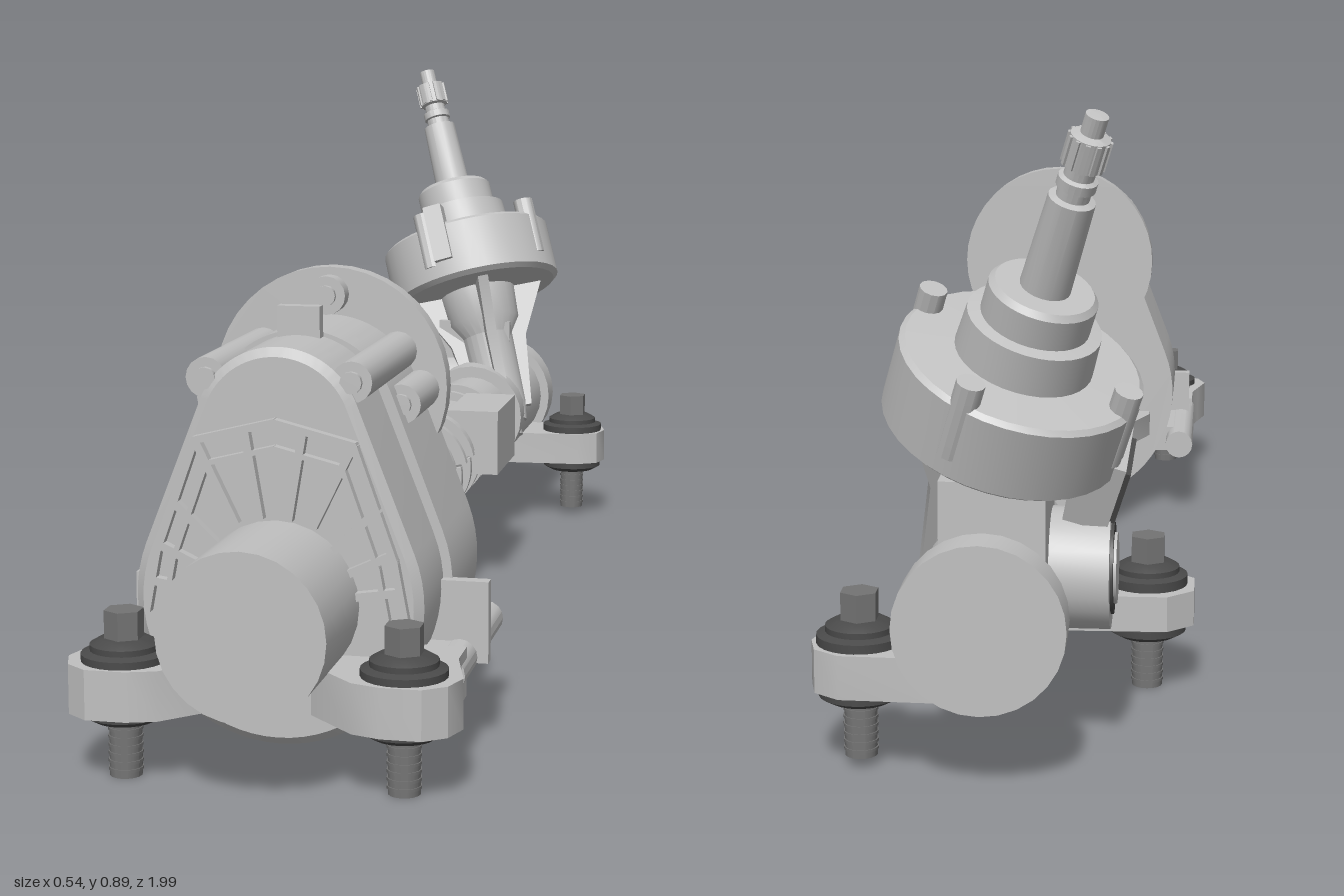
import * as THREE from 'three';
import { toCreasedNormals } from 'three/addons/utils/BufferGeometryUtils.js';

const mat = (name, color) => Object.assign(new THREE.MeshStandardMaterial({ color }), { name });

export function createModel() {
  const model = new THREE.Group();
  model.name = 'steeringRack';
  const metal = mat('castMetal', 0xc0c0c0);
  const steel = mat('boltSteel', 0x737373);
  const rubber = mat('darkRubber', 0x4a4a4a);

  const add = (name, geo, m = metal, parent = model, pos = [0, 0, 0]) => {
    const mesh = new THREE.Mesh(toCreasedNormals(geo, 0.6), m);
    mesh.name = name;
    mesh.position.set(...pos);
    parent.add(mesh);
    return mesh;
  };
  const box = (name, x0, x1, y0, y1, z0, z1, m, parent) =>
    add(name, new THREE.BoxGeometry(x1 - x0, y1 - y0, z1 - z0), m, parent,
      [(x0 + x1) / 2, (y0 + y1) / 2, (z0 + z1) / 2]);
  const cylZ = (name, x, y, r, z0, z1, m, seg = 24) =>
    add(name, new THREE.CylinderGeometry(r, r, z1 - z0, seg).rotateX(Math.PI / 2), m, model, [x, y, (z0 + z1) / 2]);
  const lathe = (name, pts, m, parent, seg = 32) =>
    add(name, new THREE.LatheGeometry(pts.map(p => new THREE.Vector2(...p)), seg), m, parent);
  const slabZ = (name, shape, z0, z1, bevel = 0) =>
    add(name, new THREE.ExtrudeGeometry(shape, {
      depth: z1 - z0 - bevel, bevelEnabled: bevel > 0, bevelThickness: bevel,
      bevelSize: bevel, bevelOffset: -bevel, bevelSegments: 1, curveSegments: 20,
    }), metal, model, [0, 0, z0]);
  // flat plate lying in the xz plane, from y0 to y1
  const slabY = (name, pts, y0, y1) =>
    add(name, new THREE.ExtrudeGeometry(new THREE.Shape(pts.map(([x, z]) => new THREE.Vector2(x, -z))),
      { depth: y1 - y0, bevelEnabled: false }).rotateX(-Math.PI / 2), metal, model, [0, y0, 0]);

  // two circles on x = 0 joined by their outer tangents
  const teardrop = (y1, r1, y2, r2) => {
    const a = Math.asin((r1 - r2) / (y2 - y1));
    const s = new THREE.Shape();
    s.absarc(0, y1, r1, Math.PI - a, Math.PI * 2 + a, false);
    s.absarc(0, y2, r2, a, Math.PI - a, false);
    return s;
  };

  // rack tube and its wider ends
  const cy = 0.225;
  cylZ('rackTube', 0, cy, 0.076, -0.7, 0.5);
  cylZ('frontEnd', 0, cy, 0.113, 0.78, 1, metal, 28);
  cylZ('rearHousing', 0, cy, 0.097, -0.94, -0.66);
  cylZ('rearCap', 0, cy, 0.113, -0.98, -0.92, metal, 28);

  // reinforcing ribs on the tube
  const arcRib = (name, z, from, to, r = 0.078) => {
    const s = new THREE.Shape();
    s.absarc(0, cy, r + 0.013, from, to, false);
    s.absarc(0, cy, r - 0.01, to, from, true);
    slabZ(name, s, z - 0.007, z + 0.007);
  };
  for (let i = 0; i < 10; i++) arcRib('lowerRib', 0.36 - i * 0.085, -1.3, 0.2);
  for (let i = 0; i < 7; i++) arcRib('upperRib', 0.32 - i * 0.085, 0.25, 2.6);
  for (const z of [-0.4, -0.48]) arcRib('bandRib', z, -0.8, 3.4);
  for (const z of [-0.1, -0.17]) arcRib('bandRib', z, 0.2, 2.6, 0.081);
  box('tubePad', 0.035, 0.125, 0.2, 0.312, -0.41, -0.22);
  box('underRail', -0.035, 0.035, 0.14, 0.17, -0.45, 0.24);

  // braces between tube and gearbox
  slabY('sideGusset', [[-0.05, 0.18], [-0.08, 0.22], [-0.17, 0.45], [-0.17, 0.48], [0, 0.48], [0, 0.18]], 0.15, 0.19);
  const brace = new THREE.Shape([[-0.2, 0.14], [-0.38, 0.065], [-0.48, 0.065], [-0.48, 0.17], [-0.2, 0.17]]
    .map(p => new THREE.Vector2(...p)));
  add('lowerGusset', new THREE.ExtrudeGeometry(brace, { depth: 0.1, bevelEnabled: false })
    .rotateY(Math.PI / 2), metal, model, [-0.05, 0, 0]);

  // gearbox
  slabZ('gearboxBody', teardrop(cy, 0.212, 0.44, 0.135), 0.475, 0.67);
  const disc = new THREE.Shape();
  disc.absarc(0, 0.472, 0.172, 0, Math.PI * 2);
  slabZ('gearboxFlange', disc, 0.475, 0.505);
  slabZ('gearboxCover', teardrop(cy, 0.199, 0.455, 0.115), 0.66, 0.815, 0.012);
  box('sideTab', 0.17, 0.265, 0.12, 0.235, 0.665, 0.685);
  box('sideTab', -0.24, -0.17, 0.12, 0.225, 0.665, 0.685);
  box('topTab', -0.03, 0.03, 0.5, 0.61, 0.67, 0.69);

  // fan of ribs on the cover
  const bar = (name, a, b, w) => {
    const dx = b[0] - a[0], dy = b[1] - a[1];
    add(name, new THREE.BoxGeometry(Math.hypot(dx, dy) + w * 0.5, w, 0.022), metal, model,
      [(a[0] + b[0]) / 2, (a[1] + b[1]) / 2, 0.818]).rotation.z = Math.atan2(dy, dx);
  };
  const arch = [[-0.178, 0.21], [-0.163, 0.29], [-0.108, 0.445], [0, 0.472], [0.108, 0.445], [0.163, 0.29], [0.178, 0.21]];
  const toward = (p, k) => [p[0] * k, cy + (p[1] - cy) * k];
  for (let i = 0; i < 6; i++) {
    bar('archRib', arch[i], arch[i + 1], 0.01);
    bar('innerArchRib', toward(arch[i], 0.86), toward(arch[i + 1], 0.86), 0.007);
  }
  for (const [x, y] of [[0.17, 0.25], [0.16, 0.3], [0.14, 0.36], [0.108, 0.445], [0.04, 0.462]])
    for (const s of [-1, 1]) bar('fanRib', toward([x * s, y], 0.5), [x * s, y], 0.011);

  // gearbox screw bosses with recessed-looking screw heads
  const boss = (x, y, z0, z1) => {
    cylZ('screwBoss', x, y, 0.028, z0, z1, metal, 16);
    cylZ('screwHead', x, y, 0.015, z1, z1 + 0.008, metal, 12);
  };
  boss(0, 0.605, 0.475, 0.53);
  for (const s of [-1, 1]) {
    boss(s * 0.1, 0.525, 0.48, 0.8);
    boss(s * 0.133, 0.47, 0.48, 0.64);
  }

  // bolt with washers, y is the middle of its lug
  const mount = (x, y, z) => {
    const g = new THREE.Group();
    g.name = 'mountBolt';
    g.position.set(x, y, z);
    model.add(g);
    lathe('upperWasher', [[0, 0.03], [0.058, 0.03], [0.058, 0.044], [0.046, 0.048], [0.046, 0.056], [0.032, 0.064], [0, 0.064]], rubber, g, 24);
    lathe('lowerWasher', [[0, -0.048], [0.042, -0.048], [0.056, -0.04], [0.056, -0.03], [0, -0.03]], rubber, g, 24);
    add('boltHead', new THREE.CylinderGeometry(0.027, 0.027, 0.05, 6), steel, g, [0, 0.077, 0]);
    add('boltShank', new THREE.CylinderGeometry(0.022, 0.022, 0.11, 16), steel, g, [0, -0.07, 0]);
    for (let i = 0; i < 6; i++)
      add('boltThread', new THREE.CylinderGeometry(0.0235, 0.0235, 0.004, 16), steel, g, [0, -0.06 - i * 0.011, 0]);
  };

  // front feet and their long side rails
  for (const s of [-1, 1]) {
    const foot = [[0.06, 0.8], [0.06, 0.87], [0.13, 0.94], [0.17, 0.953], [0.225, 0.953], [0.255, 0.93],
      [0.268, 0.89], [0.255, 0.84], [0.245, 0.8], [0.245, 0.74], [0.13, 0.74]].map(([x, z]) => [s * x, z]);
    slabY('frontFoot', foot, 0.09, 0.158);
    box('sideRail', s > 0 ? 0.15 : -0.235, s > 0 ? 0.235 : -0.15, 0.105, 0.15, 0.52, 0.78);
    cylZ('railRod', s * 0.225, 0.128, 0.025, 0.47, 0.78, metal, 16);
    mount(s * 0.19, 0.124, 0.89);
  }

  // rear feet
  slabY('sideFoot', [[0, -0.58], [-0.23, -0.575], [-0.268, -0.54], [-0.268, -0.475], [-0.23, -0.44], [0, -0.43]], 0.1, 0.152);
  box('sideFootBlock', -0.13, 0, 0.14, 0.19, -0.58, -0.43);
  mount(-0.2, 0.124, -0.508);
  slabY('rearFoot', [[0, -0.93], [0.19, -0.925], [0.225, -0.9], [0.235, -0.86], [0.225, -0.82], [0.19, -0.8], [0, -0.79]], 0.11, 0.17);
  mount(0.17, 0.138, -0.86);

  // yoke plug on the side of the rear housing
  const plug = (name, r, x0, x1, m) => add(name,
    new THREE.CylinderGeometry(r, r, x1 - x0, 24).rotateZ(Math.PI / 2), m, model, [(x0 + x1) / 2, 0.255, -0.78]);
  plug('yokeHousing', 0.082, -0.16, 0);
  plug('yokeRing', 0.062, -0.164, -0.15, rubber);
  plug('yokePlug', 0.048, -0.168, -0.15, metal);

  // tilted pinion tower, built along its own y axis
  const tower = new THREE.Group();
  tower.name = 'pinionTower';
  tower.position.set(-0.03, 0.5, -0.815);
  tower.quaternion.setFromUnitVectors(new THREE.Vector3(0, 1, 0), new THREE.Vector3(-0.31, 1, -0.36).normalize());
  model.add(tower);
  lathe('sensorDrum', [[0, -0.058], [0.155, -0.058], [0.165, -0.05], [0.165, 0.05], [0.158, 0.056], [0.093, 0.06],
    [0.09, 0.115], [0.073, 0.118], [0.073, 0.16], [0.066, 0.168], [0, 0.168]], metal, tower, 36);
  lathe('inputShaft', [[0.034, 0.16], [0.031, 0.3], [0.022, 0.303], [0.022, 0.315], [0.026, 0.317], [0.026, 0.33],
    [0.02, 0.333], [0.02, 0.345], [0.026, 0.348], [0.026, 0.39], [0.015, 0.394], [0.015, 0.42], [0, 0.422]], metal, tower, 20);
  for (let i = 0; i < 12; i++) {
    const a = i / 12 * Math.PI * 2;
    add('splineTooth', new THREE.BoxGeometry(0.006, 0.04, 0.006), metal, tower,
      [0.026 * Math.cos(a), 0.369, 0.026 * Math.sin(a)]).rotation.y = -a;
  }
  lathe('pinionColumn', [[0, -0.355], [0.026, -0.355], [0.026, -0.33], [0.04, -0.328], [0.046, -0.29], [0.05, -0.15],
    [0.07, -0.12], [0.075, -0.05]], metal, tower, 24);
  // webs that flare from the column up to the drum
  const web = new THREE.Shape([[0, -0.3], [0.055, -0.3], [0.075, -0.16], [0.13, -0.055], [0, -0.055]]
    .map(p => new THREE.Vector2(...p)));
  for (let i = 0; i < 4; i++)
    add('columnWeb', new THREE.ExtrudeGeometry(web, { depth: 0.02, bevelEnabled: false }).translate(0, 0, -0.01),
      metal, tower).rotation.y = i * Math.PI / 2 + 0.3;
  // small screws round the drum
  for (const a of [0.4, 1.9, 3.5, 5.1])
    add('drumScrew', new THREE.CylinderGeometry(0.019, 0.019, 0.11, 12), metal, tower,
      [0.15 * Math.cos(a), 0.03, 0.15 * Math.sin(a)]);
  box('drumTab', -0.04, -0.005, -0.02, 0.09, 0.14, 0.175, metal, tower);
  // electrical plug beside the drum
  box('plugBody', -0.17, -0.11, -0.13, -0.03, -0.06, 0.05, metal, tower);
  box('plugSocket', -0.178, -0.17, -0.12, -0.04, -0.05, 0.04, rubber, tower);

  // block tying the tower to the rear housing
  box('towerBlock', -0.08, 0.06, 0.2, 0.4, -0.9, -0.74);
  return model;
}
